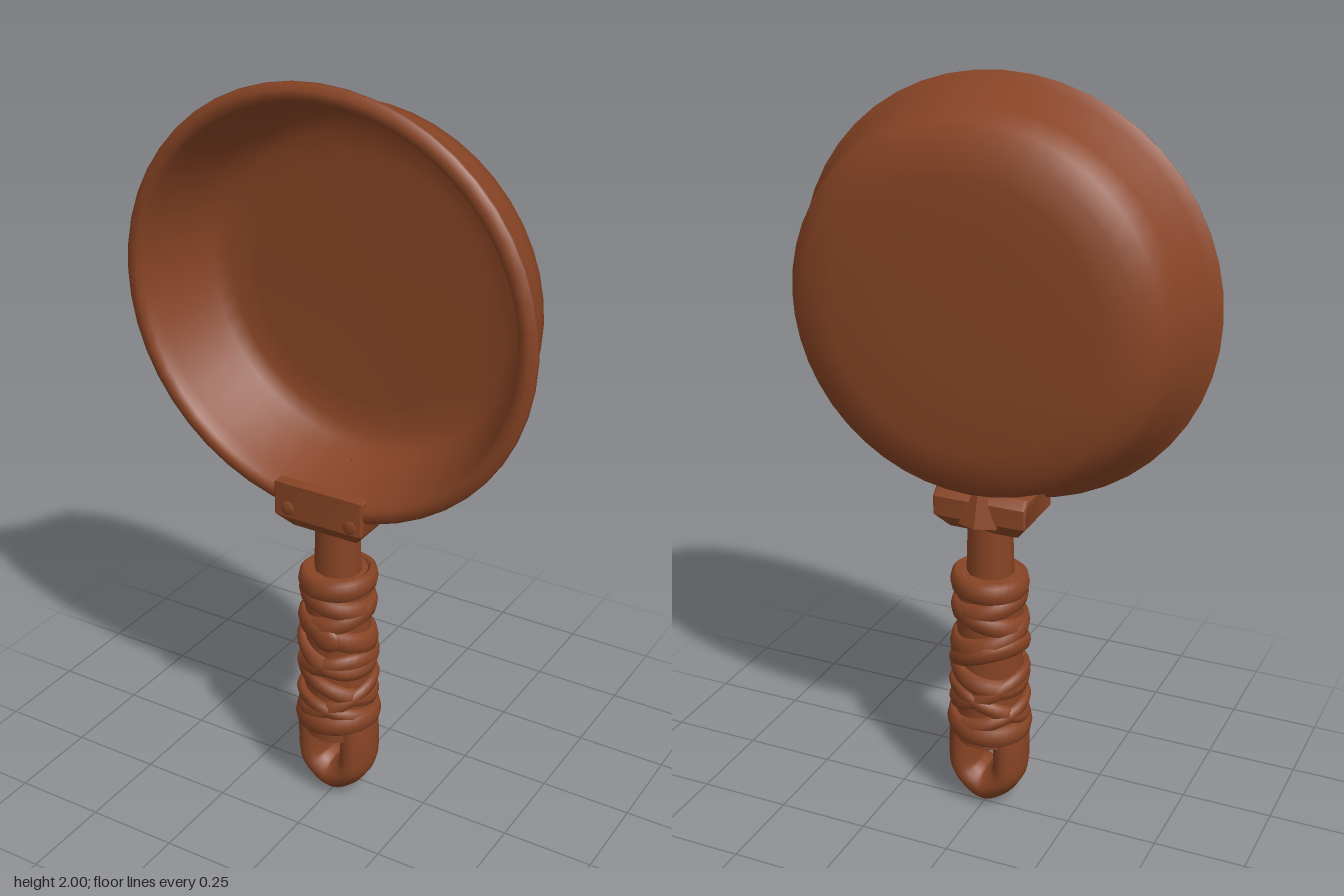
import * as THREE from 'three';
import { toCreasedNormals } from 'three/addons/utils/BufferGeometryUtils.js';

export function createModel() {
  const model = new THREE.Group();
  model.name = 'fryingPan';
  const iron = new THREE.MeshStandardMaterial({ color: 0x884425 });
  iron.name = 'rusty brown';

  const add = (name, geometry, x = 0, y = 0, z = 0, parent = model) => {
    const mesh = new THREE.Mesh(geometry, iron);
    mesh.name = name;
    mesh.position.set(x, y, z);
    parent.add(mesh);
    return mesh;
  };

  // Pan bowl: closed profile of [radius, z], from back centre over the rim to the inner floor
  const profile = [
    [0, -0.15], [0.2, -0.15], [0.36, -0.144], [0.44, -0.127], [0.49, -0.09], [0.515, -0.02],
    [0.55, 0.09], [0.575, 0.115], [0.573, 0.122], [0.558, 0.135], [0.538, 0.135], [0.527, 0.122],
    [0.515, 0.09], [0.475, -0.03], [0.45, -0.075], [0.41, -0.098], [0.34, -0.105], [0, -0.108],
  ].map(([r, z]) => new THREE.Vector2(r, z));
  const bowl = new THREE.LatheGeometry(profile, 48);
  bowl.rotateX(Math.PI / 2).scale(1, 0.965, 1);
  add('panBowl', bowl, 0, 1.445, 0);

  // Bracket: side profile [z, y] extruded across the width, with a lip over the rim
  const side = new THREE.Shape([
    [0.138, 0.965], [0.138, 0.875], [0.105, 0.838], [-0.005, 0.838], [-0.036, 0.875],
    [-0.036, 0.925], [-0.015, 0.945], [0.11, 0.945], [0.112, 0.965],
  ].map(([z, y]) => new THREE.Vector2(z, y)));
  const bracket = new THREE.ExtrudeGeometry(side, {
    depth: 0.236, bevelThickness: 0.012, bevelSize: 0.006, bevelOffset: -0.002, bevelSegments: 2,
  });
  bracket.rotateY(-Math.PI / 2).translate(0.118, 0, 0);
  // Pull the lower corners inwards
  const bp = bracket.attributes.position;
  for (let i = 0; i < bp.count; i++) {
    if (bp.getY(i) < 0.85) bp.setX(i, bp.getX(i) * 0.78);
  }
  bracket.computeVertexNormals();
  add('bracket', toCreasedNormals(bracket, 0.6));

  // Rivets on the bracket face
  for (const [x, y] of [[-0.088, 0.9], [0.095, 0.895]]) {
    const rivet = new THREE.SphereGeometry(0.024, 12, 8);
    rivet.scale(1, 1, 0.4);
    add('rivet', rivet, x, y, 0.137);
  }

  // Pointed tang running up the back of the bracket
  const tang = new THREE.ConeGeometry(0.06, 0.13, 6);
  tang.scale(1, 1, 0.6);
  add('backTang', toCreasedNormals(tang, 0.5), 0, 0.93, -0.03);

  // Handle neck and the core under the wrapping
  const neck = new THREE.CylinderGeometry(0.06, 0.066, 0.22, 10);
  neck.scale(1, 1, 0.9);
  add('handleNeck', neck, 0, 0.76, 0.04);
  add('handleCore', new THREE.CylinderGeometry(0.088, 0.092, 0.5, 20), 0, 0.45, 0.038);

  // Leather wrapping: flattened rings, sheared so that they cross over each other
  const wrap = new THREE.Group();
  wrap.name = 'handleWrap';
  wrap.position.z = 0.038;
  model.add(wrap);
  const strap = (y, slopeX, slopeZ, radius, height) => {
    const thickness = 0.016;
    const g = new THREE.TorusGeometry(radius, thickness, 8, 32);
    g.rotateX(Math.PI / 2).scale(1, height / (2 * thickness), 1);
    g.applyMatrix4(new THREE.Matrix4().set(
      1, 0, 0, 0,
      slopeX, 1, slopeZ, 0,
      0, 0, 1, 0,
      0, 0, 0, 1));
    add('strap', g, 0, y, 0, wrap);
  };
  for (const s of [
    [0.675, 0.05, 0, 0.09, 0.065],
    [0.62, -0.2, 0.1, 0.088, 0.06],
    [0.575, 0.25, -0.15, 0.089, 0.06],
    [0.525, -0.25, 0.2, 0.092, 0.065],
    [0.47, -0.35, -0.2, 0.095, 0.055],
    [0.42, 0.3, 0.2, 0.094, 0.06],
    [0.37, -0.4, 0.15, 0.095, 0.055],
    [0.325, 0.4, -0.25, 0.096, 0.05],
    [0.295, -0.25, 0.2, 0.097, 0.045],
    [0.255, 0.08, 0.05, 0.101, 0.065],
  ]) strap(...s);

  // Knot on the front of the wrapping
  const knot = new THREE.SphereGeometry(0.038, 14, 10);
  knot.scale(1.1, 1, 0.55);
  add('knot', knot, 0.018, 0.53, 0.088, wrap);

  // Hanging loop at the end of the handle
  const path = new THREE.CatmullRomCurve3([
    [-0.06, 0.26], [-0.066, 0.17], [-0.056, 0.095], [0, 0.06], [0.056, 0.095], [0.066, 0.17], [0.06, 0.26],
  ].map(([x, y]) => new THREE.Vector3(x, y, 0)));
  const loop = new THREE.TubeGeometry(path, 36, 0.045, 14);
  loop.scale(1, 1, 1.65);
  const lp = loop.attributes.position;
  for (let i = 0; i < lp.count; i++) {
    const y = lp.getY(i);
    if (y < 0.06) lp.setY(i, 0.06 - (0.06 - y) * 1.33);
  }
  add('hangingLoop', loop, 0, 0, 0.036);

  return model;
}
